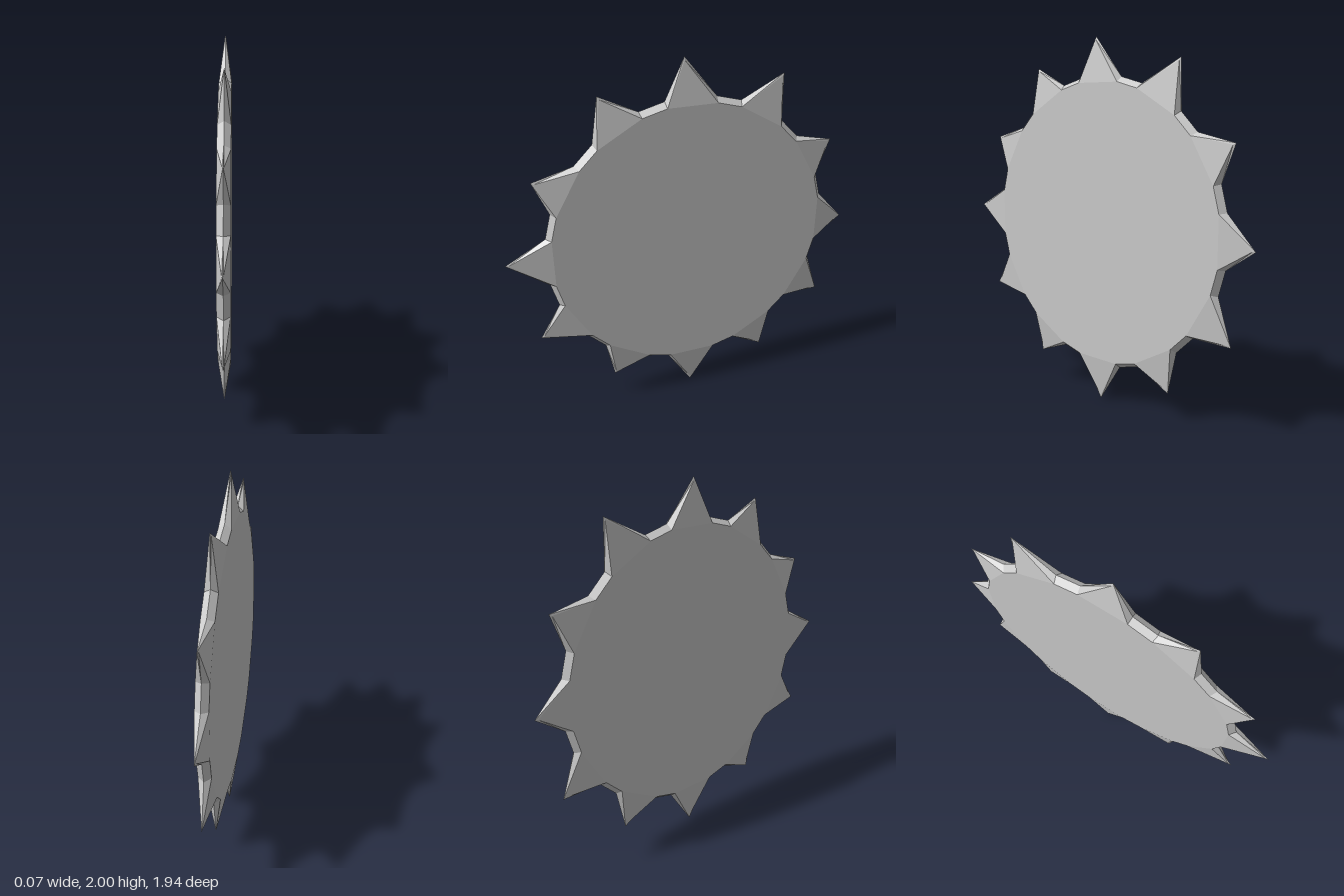
import * as THREE from 'three';

const HALF = 0.033;          // half thickness
const CY = 1.003, CZ = -0.03; // hub of the disc
const R_MID = 0.797, R_FACE = 0.77;

// Tooth tips as [z, y], clockwise from the top seen from +x
const TIPS = [
  [0.005, 2.0], [-0.537, 1.87], [-0.85, 1.47], [-0.97, 0.976],
  [-0.857, 0.49], [-0.492, 0.156], [-0.03, 0.0], [0.44, 0.177],
  [0.836, 0.537], [0.97, 1.024], [0.795, 1.458], [0.444, 1.85],
];

// Point on the disc at an angle (degrees) from the top
function onDisc(x, r, deg) {
  const a = THREE.MathUtils.degToRad(deg);
  return new THREE.Vector3(x, CY + r * Math.cos(a), CZ - r * Math.sin(a));
}

function meshFrom(name, triangles) {
  const geometry = new THREE.BufferGeometry().setFromPoints(triangles);
  geometry.computeVertexNormals();
  const material = new THREE.MeshStandardMaterial({ color: 0xcccccc, flatShading: true });
  const mesh = new THREE.Mesh(geometry, material);
  mesh.name = name;
  return mesh;
}

// One side of the star: flat face, sloping teeth and half of the bevelled rim
function buildSide(side) {
  const face = [], mid = [];
  TIPS.forEach(([z, y], i) => {
    const deg = i * 30;
    const tip = new THREE.Vector3(0, y, z);
    const hub = new THREE.Vector3(0, CY, CZ);
    const faceTip = tip.clone().lerp(hub, 0.018);
    faceTip.x = side * 0.004;
    mid.push(onDisc(0, R_MID, deg - 10), tip, onDisc(0, R_MID, deg + 10));
    face.push(onDisc(side * HALF, R_FACE, deg - 10), faceTip, onDisc(side * HALF, R_FACE, deg + 10));
  });

  const disc = [], teeth = [], rim = [];
  const add = (list, a, b, c) => list.push(...(side > 0 ? [a, b, c] : [a, c, b]));
  const center = new THREE.Vector3(side * HALF, CY, CZ);
  const n = face.length;
  for (let j = 0; j < n; j++) {
    const k = (j + 1) % n;
    add(rim, face[j], face[k], mid[k]);
    add(rim, face[j], mid[k], mid[j]);
    if (j % 3 === 0) {
      add(disc, center, face[j + 2], face[j]);
      add(teeth, face[j], face[j + 2], face[j + 1]);
    } else if (j % 3 === 2) {
      add(disc, center, face[k], face[j]);
    }
  }

  const group = new THREE.Group();
  group.name = side > 0 ? 'leftSide' : 'rightSide';
  group.add(meshFrom('discFace', disc), meshFrom('teeth', teeth), meshFrom('bevelledRim', rim));
  return group;
}

export function createModel() {
  const model = new THREE.Group();
  model.name = 'throwingStar';
  for (const side of [1, -1]) model.add(buildSide(side));
  return model;
}
